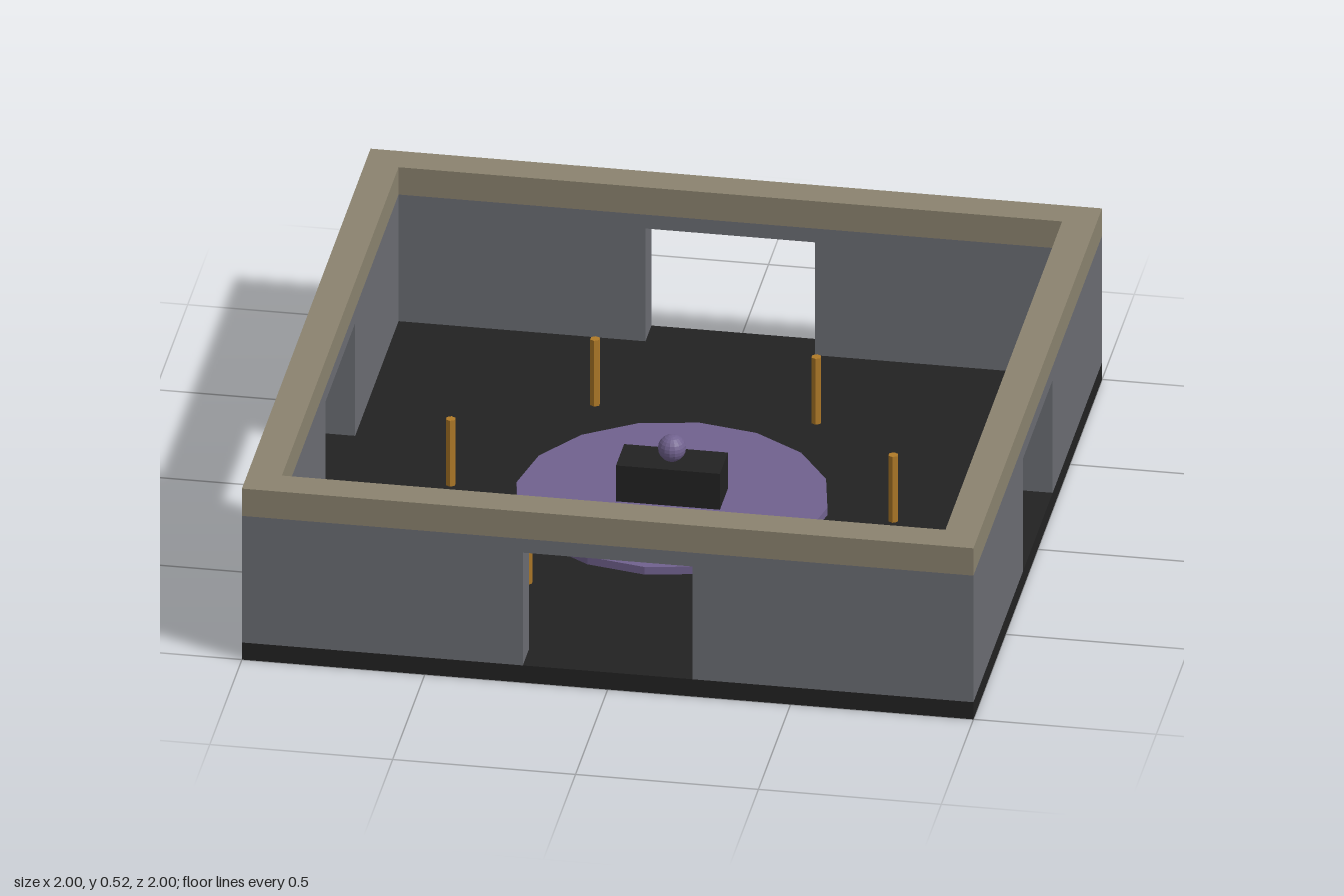
import * as THREE from 'three';

const FLOOR = 0.052, WALL_TOP = 0.437, TOP = 0.52, T = 0.093;

function material(name, color, flatShading = false) {
  const m = new THREE.MeshStandardMaterial({ color, flatShading });
  m.name = name;
  return m;
}

export function createModel() {
  const group = new THREE.Group();
  const dark = material('dark stone', 0x222222);
  const grey = material('grey wall', 0x6b6d73);
  const tan = material('tan trim', 0x8b836f);
  const purple = material('purple', 0x71628f, true);
  const gold = material('gold', 0xb07a28, true);

  const add = (name, geometry, mat, x = 0, y = 0, z = 0) => {
    const mesh = new THREE.Mesh(geometry, mat);
    mesh.name = name;
    mesh.position.set(x, y, z);
    group.add(mesh);
    return mesh;
  };

  // Floor slab
  add('floor', new THREE.BoxGeometry(2, FLOOR, 2), dark, 0, FLOOR / 2, 0);

  // Wall with a doorway notch, facing +z
  const wallGeometry = (half) => {
    const door = 0.232, head = 0.395;
    const shape = new THREE.Shape([
      [-half, FLOOR], [-door, FLOOR], [-door, head], [door, head],
      [door, FLOOR], [half, FLOOR], [half, WALL_TOP], [-half, WALL_TOP],
    ].map(([x, y]) => new THREE.Vector2(x, y)));
    return new THREE.ExtrudeGeometry(shape, { depth: T, bevelEnabled: false })
      .translate(0, 0, 1 - T);
  };
  ['frontWall', 'leftWall', 'backWall', 'rightWall'].forEach((name, i) => {
    const wall = add(name, wallGeometry(i % 2 ? 1 - T : 1), grey);
    wall.rotation.y = i * Math.PI / 2;
  });

  // Square trim ring along the wall tops
  const square = (h) => [[-h, -h], [h, -h], [h, h], [-h, h]]
    .map(([x, y]) => new THREE.Vector2(x, y));
  const ring = new THREE.Shape(square(1));
  ring.holes.push(new THREE.Path(square(1 - T)));
  const trim = new THREE.ExtrudeGeometry(ring, { depth: TOP - WALL_TOP, bevelEnabled: false });
  add('wallTrim', trim.rotateX(-Math.PI / 2), tan, 0, WALL_TOP, 0);

  // Central dais, altar and orb
  add('dais', new THREE.CylinderGeometry(0.425, 0.425, 0.023, 16), purple, 0, FLOOR + 0.0115, 0);
  add('altar', new THREE.BoxGeometry(0.284, 0.109, 0.126), dark, 0, 0.1295, 0);
  add('orb', new THREE.SphereGeometry(0.038, 16, 12), purple, 0, 0.218, 0);

  // Ring of slim posts
  for (let i = 0; i < 6; i++) {
    const a = i * Math.PI / 3;
    add('post', new THREE.CylinderGeometry(0.014, 0.014, 0.2, 6), gold,
      0.605 * Math.cos(a), FLOOR + 0.1, 0.605 * Math.sin(a));
  }
  return group;
}
